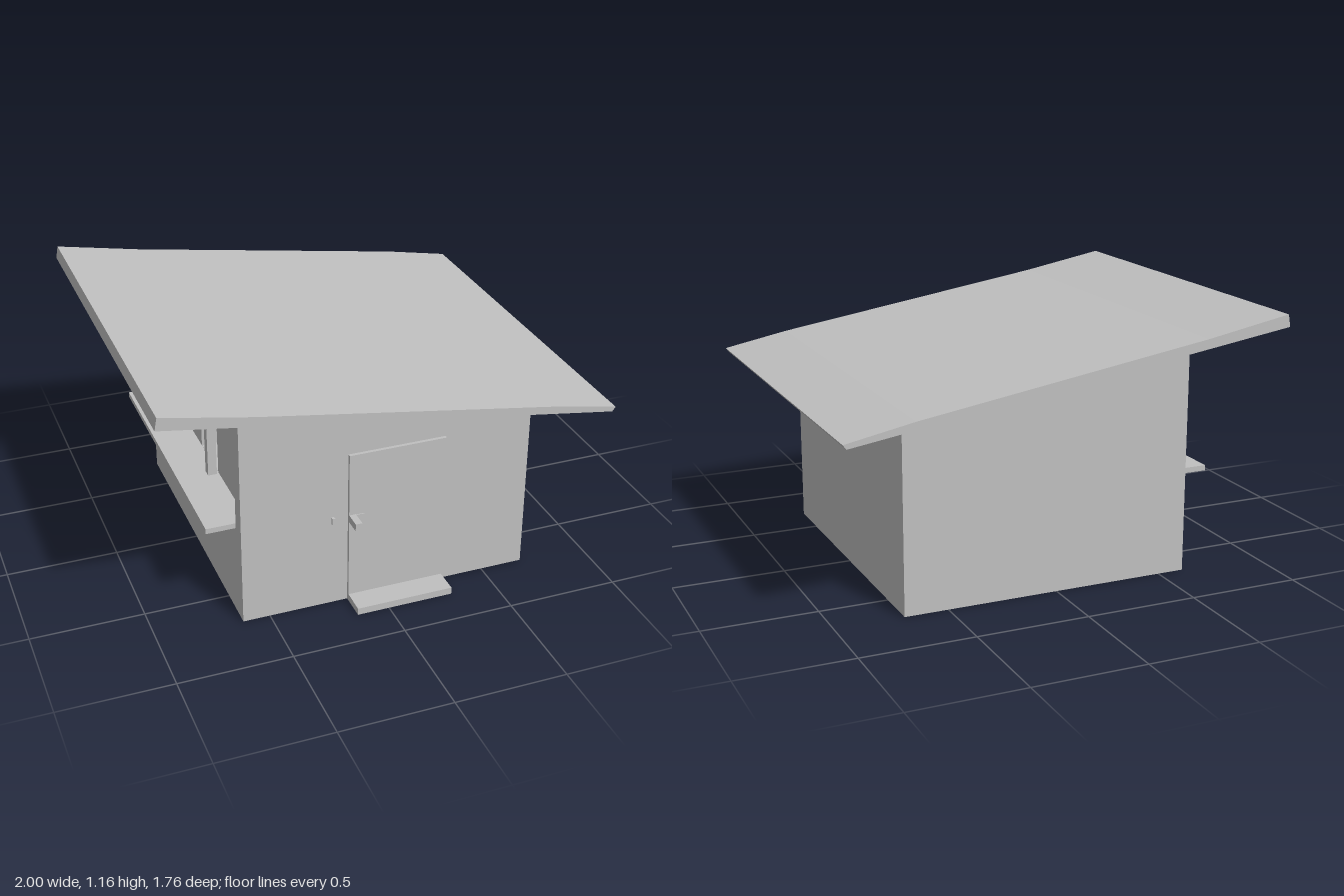
import * as THREE from 'three';

export function createModel() {
  const group = new THREE.Group();
  const grey = new THREE.MeshStandardMaterial({ color: 0xc0c0c0 });
  grey.name = 'plain grey';

  const add = (name, geometry) => {
    const mesh = new THREE.Mesh(geometry, grey);
    mesh.name = name;
    group.add(mesh);
    return mesh;
  };
  // box given by its extents along each axis
  const boxGeo = (x0, x1, y0, y1, z0, z1) =>
    new THREE.BoxGeometry(x1 - x0, y1 - y0, z1 - z0)
      .translate((x0 + x1) / 2, (y0 + y1) / 2, (z0 + z1) / 2);
  const box = (name, ...extents) => add(name, boxGeo(...extents));

  // inside of a box, leaving out its -x face and optionally its +x face
  const recess = (name, closed, ...extents) => {
    const geo = boxGeo(...extents);
    const index = Array.from(geo.index.array);
    const kept = [...(closed ? index.slice(0, 6) : []), ...index.slice(12)];
    geo.clearGroups();
    geo.setIndex(kept.reverse());
    geo.computeVertexNormals();
    return add(name, geo);
  };

  // wall facing -x with a rectangular hole; rectangles are [z0, z1, y0, y1]
  const rect = (Type, [z0, z1, y0, y1]) => new Type([
    new THREE.Vector2(z0, y0), new THREE.Vector2(z1, y0),
    new THREE.Vector2(z1, y1), new THREE.Vector2(z0, y1),
  ]);
  const holedWall = (name, x, outer, hole) => {
    const shape = rect(THREE.Shape, outer);
    shape.holes.push(rect(THREE.Path, hole));
    return add(name, new THREE.ShapeGeometry(shape).rotateY(-Math.PI / 2).translate(x, 0, 0));
  };

  // four-cornered wall, corners counterclockwise from outside
  const quad = (name, a, b, c, d) => {
    const geo = new THREE.BufferGeometry();
    geo.setAttribute('position', new THREE.Float32BufferAttribute([a, b, c, a, c, d].flat(), 3));
    geo.computeVertexNormals();
    return add(name, geo);
  };

  // hut walls and floor
  const L = -0.62, R = 0.695, Z = 0.7, hL = 1.052, hR = 0.855;
  quad('frontWall', [L, 0, Z], [R, 0, Z], [R, hR, Z], [L, hL, Z]);
  quad('backWall', [R, 0, -Z], [L, 0, -Z], [L, hL, -Z], [R, hR, -Z]);
  quad('lowSideWall', [R, 0, Z], [R, 0, -Z], [R, hR, -Z], [R, hR, Z]);
  quad('floor', [L, 0, -Z], [R, 0, -Z], [R, 0, Z], [L, 0, Z]);

  // serving side: wide shallow niche with a deeper hatch in its back
  const niche = [-0.65, 0.63, 0.455, 0.91];
  const hatch = [-0.04, 0.21, 0.456, 0.685];
  const nicheX = -0.565, hatchX = -0.3;
  const yz = ([z0, z1, y0, y1]) => [y0, y1, z0, z1];
  holedWall('servingWall', L, [-Z, Z, 0, hL], niche);
  recess('nicheSides', false, L, nicheX, ...yz(niche));
  holedWall('nicheBack', nicheX, niche, hatch);
  recess('hatch', true, nicheX, hatchX, ...yz(hatch));

  // counter and the posts that split the opening in three
  box('counter', -0.75, L, 0.432, 0.456, -0.65, 0.63);
  for (const z of [-0.223, 0.203]) {
    box('post', L + 0.005, nicheX - 0.01, 0.455, 0.91, z - 0.02, z + 0.02);
  }

  // sloping roof slab, slightly bent on top
  const profile = [
    [-1, 1.105], [0.985, 0.805], [1, 0.825], [0.7, 0.883], [-0.6, 1.088], [-0.99, 1.16],
  ].map(([x, y]) => new THREE.Vector2(x, y));
  add('roof', new THREE.ExtrudeGeometry(new THREE.Shape(profile), { depth: 1.76, bevelEnabled: false })
    .translate(0, 0, -0.88));

  // door, step and fittings
  box('door', -0.145, 0.295, 0.03, 0.728, Z, 0.715);
  box('step', -0.145, 0.295, 0, 0.032, Z, 0.828);
  box('handlePlate', -0.145, -0.075, 0.404, 0.436, 0.715, 0.719);
  box('doorHandle', -0.145, -0.115, 0.404, 0.438, 0.715, 0.79);
  box('latch', -0.22, -0.208, 0.404, 0.436, Z, 0.715);

  return group;
}
